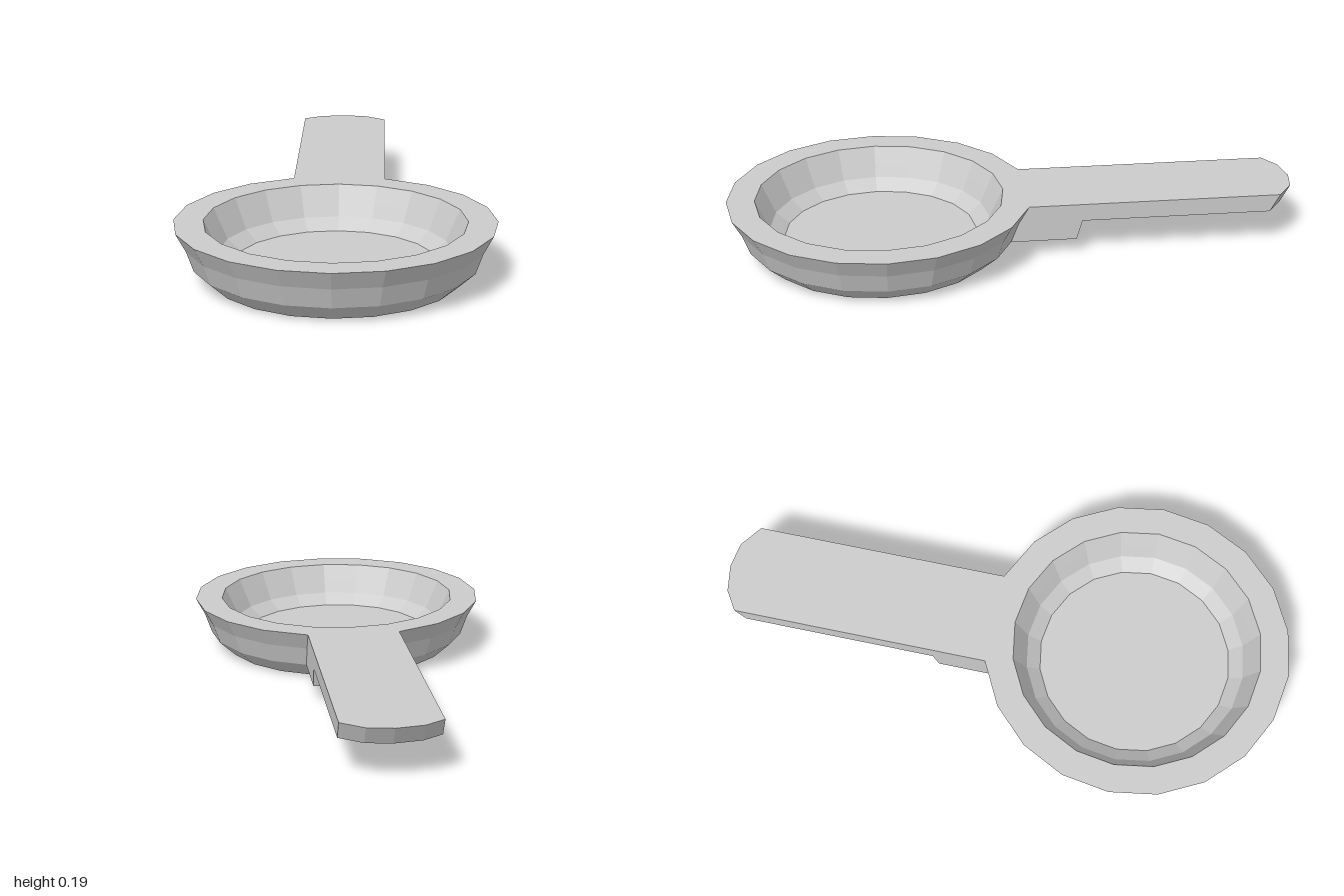
import * as THREE from 'three';

const Y_TOP = 0.187, Y_MID = 0.125, Y_LOW = 0.056;
const BOWL_Z = 0.467;

// Solid between two matching [x, z] outlines, listed clockwise from above
// and starting at a point that sees every other one.
function loft(top, yTop, bottom, yBottom) {
  const n = top.length;
  const positions = [];
  top.forEach(([x, z]) => positions.push(x, yTop, z));
  bottom.forEach(([x, z]) => positions.push(x, yBottom, z));
  const index = [];
  for (let i = 0; i < n; i++) {
    const j = (i + 1) % n;
    index.push(i, j, n + i, j, n + j, n + i);
    if (i > 0 && i < n - 1) index.push(0, i + 1, i, n, n + i, n + i + 1);
  }
  const geometry = new THREE.BufferGeometry();
  geometry.setAttribute('position', new THREE.Float32BufferAttribute(positions, 3));
  geometry.setIndex(index);
  const flat = geometry.toNonIndexed();
  flat.computeVertexNormals();
  return flat;
}

export function createModel() {
  const group = new THREE.Group();
  const material = new THREE.MeshStandardMaterial({ color: 0xcccccc, flatShading: true });
  const add = (name, geometry) => {
    const mesh = new THREE.Mesh(geometry, material);
    mesh.name = name;
    group.add(mesh);
    return mesh;
  };

  // Bowl: outside wall, flat rim, inside wall and floor
  const profile = [
    [0, 0], [0.415, 0], [0.476, Y_LOW], [0.5, Y_MID], [0.533, Y_TOP],
    [0.435, Y_TOP], [0.408, 0.13], [0.386, 0.083], [0.338, 0.045], [0, 0.045],
  ].map(([r, y]) => new THREE.Vector2(r, y));
  add('bowl', new THREE.LatheGeometry(profile, 20)).position.z = BOWL_Z;

  // Handle: flat bar with a rounded, undercut end; its root meets the rim
  const w = 0.162;
  const handleOutline = (shift, rootSide, rootMid) => [
    [0, -1 + shift], [0.087, -0.985 + shift], [w, -0.93 + shift],
    [w, rootSide], [0, rootMid], [-w, rootSide],
    [-w, -0.942 + shift], [-0.095, -0.985 + shift],
  ];
  add('handle', loft(
    handleOutline(0, -0.04, -0.066), Y_TOP,
    handleOutline(0.035, 0.005, -0.01), Y_MID));

  // Bracket: short block under the root of the handle
  const bracketOutline = (tip) => [
    [0, tip], [w, tip + 0.021], [w, 0.04], [-w, 0.04], [-w, tip + 0.021],
  ];
  add('handleBracket', loft(bracketOutline(-0.25), Y_MID, bracketOutline(-0.23), Y_LOW));

  return group;
}
